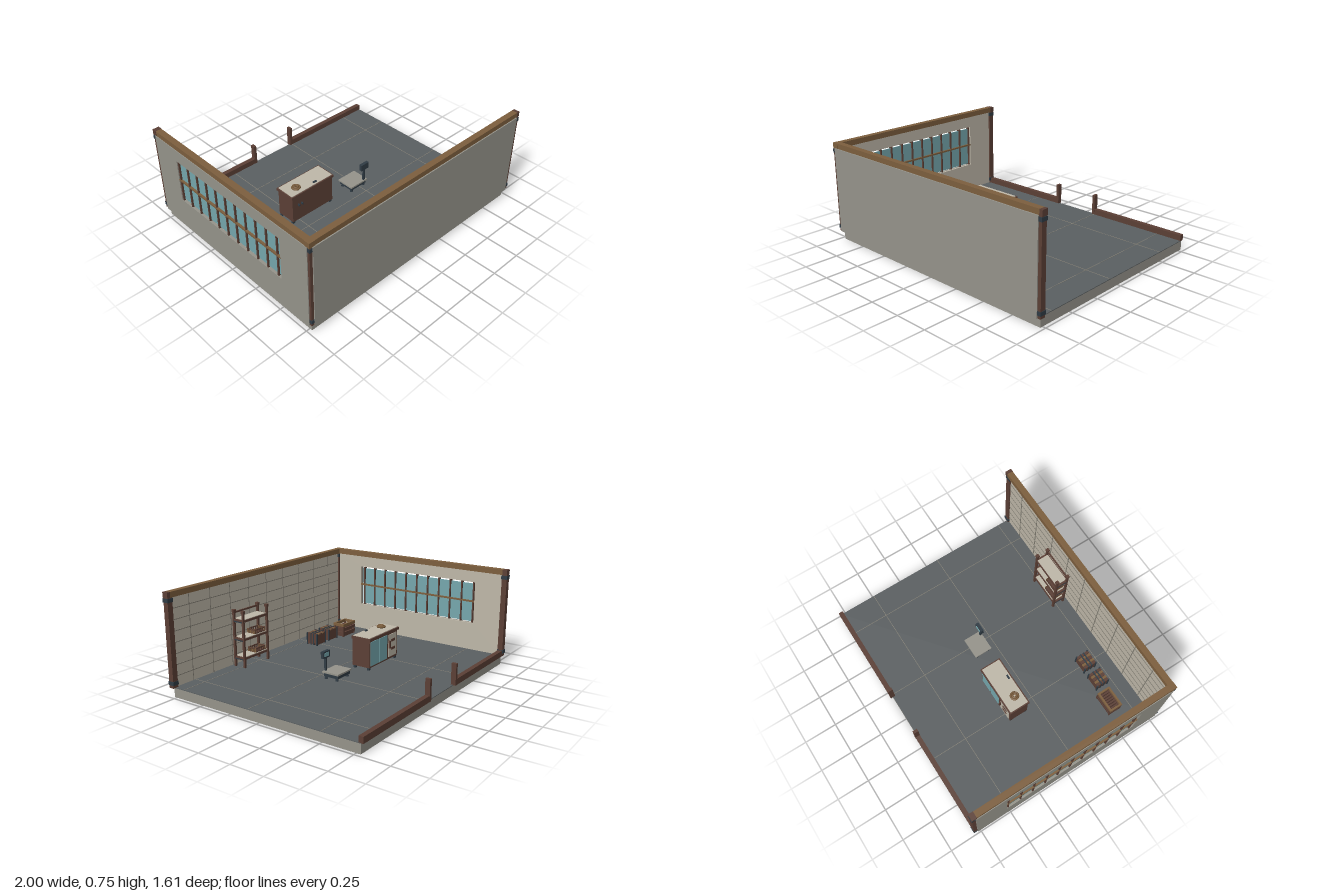
import * as THREE from 'three';

const mat = (name, color) => new THREE.MeshStandardMaterial({ name, color });

export function createModel() {
  const M = {
    concrete: mat('concrete grey', 0x96948b),
    plaster: mat('beige plaster', 0xbfb8a9),
    floor: mat('slate floor', 0x5b6062),
    wood: mat('dark wood', 0x5c4036),
    tan: mat('tan wood', 0x7d5f3e),
    metal: mat('blue black metal', 0x303c45),
    glass: mat('teal glass', 0x76a8ae),
    grout: mat('grout', 0x858176),
  };
  const model = new THREE.Group();
  model.name = 'workshopRoom';

  const group = (name) => {
    const g = new THREE.Group();
    g.name = name;
    model.add(g);
    return g;
  };
  const add = (g, name, geo, m) => {
    const mesh = new THREE.Mesh(geo, m);
    mesh.name = name;
    g.add(mesh);
    return mesh;
  };
  // Box given by its limits on each axis
  const box = (g, name, m, x0, x1, y0, y1, z0, z1) => {
    const b = add(g, name, new THREE.BoxGeometry(x1 - x0, y1 - y0, z1 - z0), m);
    b.position.set((x0 + x1) / 2, (y0 + y1) / 2, (z0 + z1) / 2);
    return b;
  };

  // Base slab and tiled floor
  const base = group('base');
  box(base, 'slab', M.concrete, -0.97, 0.975, 0, 0.068, -0.782, 0.77);
  box(base, 'floorSurface', M.floor, -0.97, 0.975, 0.068, 0.073, -0.782, 0.77);
  for (const x of [-0.385, 0.197, 0.78])
    box(base, 'floorJoint', M.grout, x - 0.002, x + 0.002, 0.072, 0.0745, -0.78, 0.76);
  for (const z of [-0.495, 0.088, 0.67])
    box(base, 'floorJoint', M.grout, -0.955, 0.973, 0.072, 0.0745, z - 0.002, z + 0.002);

  // Front wall: grey outside, tiled plaster inside
  const front = group('frontWall');
  box(front, 'outerSkin', M.concrete, -0.97, 0.972, 0.07, 0.712, 0.778, 0.8);
  box(front, 'innerLining', M.plaster, -0.97, 0.972, 0.07, 0.712, 0.765, 0.778);
  for (let i = 1; i < 8; i++) {
    const y = 0.07 + i * 0.08;
    box(front, 'tileJoint', M.grout, -0.95, 0.96, y - 0.003, y + 0.003, 0.762, 0.766);
  }
  for (let i = 0; i < 9; i++) {
    const x = -0.8 + i * 0.2;
    box(front, 'tileJoint', M.grout, x - 0.003, x + 0.003, 0.073, 0.71, 0.762, 0.766);
  }

  // Side wall with a window opening
  const side = group('sideWall');
  const rect = (T, u0, u1, v0, v1) => {
    const s = new T();
    s.moveTo(u0, v0).lineTo(u1, v0).lineTo(u1, v1).lineTo(u0, v1).closePath();
    return s;
  };
  const pane = (name, m, x, depth) => {
    const s = rect(THREE.Shape, -0.775, 0.775, 0.07, 0.712);
    s.holes.push(rect(THREE.Path, -0.53, 0.538, 0.29, 0.62));
    const geo = new THREE.ExtrudeGeometry(s, { depth, bevelEnabled: false });
    geo.rotateY(Math.PI / 2);
    add(side, name, geo, m).position.x = x;
  };
  pane('outerSkin', M.concrete, -0.997, 0.02);
  pane('innerLining', M.plaster, -0.977, 0.015);

  // Window
  const win = group('window');
  box(win, 'glazing', M.glass, -0.983, -0.977, 0.3, 0.605, -0.525, 0.515);
  for (let i = 0; i < 11; i++) {
    const z = 0.496 - i * 0.102;
    box(win, 'mullion', M.wood, -0.995, -0.965, 0.292, 0.618, z - 0.005, z + 0.005);
  }
  box(win, 'crossBar', M.tan, -0.998, -0.962, 0.459, 0.471, -0.538, 0.53);

  // Corner posts with metal collars
  const frame = group('timberFrame');
  for (const [x, z] of [[-0.97, 0.773], [0.975, 0.773], [-0.97, -0.781]]) {
    box(frame, 'cornerPost', M.wood, x - 0.021, x + 0.021, 0.07, 0.712, z - 0.02, z + 0.02);
    for (const y of [0.105, 0.691])
      box(frame, 'postCollar', M.metal, x - 0.024, x + 0.024, y - 0.014, y + 0.014, z - 0.024, z + 0.024);
  }
  // Top beams and dark end caps
  box(frame, 'frontBeam', M.tan, -0.95, 0.975, 0.71, 0.75, 0.748, 0.792);
  box(frame, 'sideBeam', M.tan, -0.992, -0.947, 0.71, 0.75, -0.765, 0.75);
  box(frame, 'beamCap', M.wood, 0.975, 1, 0.71, 0.75, 0.748, 0.794);
  box(frame, 'beamCap', M.tan, -0.994, -0.945, 0.71, 0.75, 0.75, 0.794);
  box(frame, 'beamCap', M.wood, -0.994, -0.945, 0.71, 0.75, -0.802, -0.765);

  // Low back sill with door posts
  const sill = group('backSill');
  box(sill, 'sillRail', M.wood, -0.95, -0.17, 0.07, 0.115, -0.8, -0.765);
  box(sill, 'sillRail', M.wood, 0.18, 0.975, 0.07, 0.115, -0.8, -0.765);
  for (const x of [-0.19, 0.178])
    box(sill, 'doorPost', M.wood, x, x + 0.022, 0.07, 0.23, -0.801, -0.764);

  // Counter
  const counter = group('counter');
  box(counter, 'body', M.wood, -0.452, -0.072, 0.092, 0.3, -0.15, 0);
  box(counter, 'topEdge', M.wood, -0.462, -0.064, 0.298, 0.317, -0.158, 0.007);
  box(counter, 'topSurface', M.plaster, -0.453, -0.073, 0.315, 0.321, -0.149, -0.002);
  for (const x of [-0.44, -0.084]) for (const z of [-0.135, -0.015])
    box(counter, 'foot', M.metal, x - 0.01, x + 0.01, 0.07, 0.094, z - 0.01, z + 0.01);
  for (const x of [-0.19, -0.305])
    box(counter, 'glassDoor', M.glass, x, x + 0.108, 0.105, 0.29, -0.154, -0.149);
  box(counter, 'backPanel', M.plaster, -0.437, -0.325, 0.11, 0.285, -0.154, -0.149);
  for (const y of [0.16, 0.225])
    box(counter, 'panelVent', M.wood, -0.41, -0.36, y, y + 0.02, -0.158, -0.153);
  box(counter, 'doorHandle', M.wood, -0.335, -0.325, 0.18, 0.24, -0.167, -0.15);
  for (const x of [-0.4, -0.37])
    box(counter, 'frontKnob', M.metal, x - 0.005, x + 0.005, 0.22, 0.235, 0, 0.017);
  // Cord coil and small tool on the counter
  for (let i = 0; i < 2; i++) {
    const coil = add(counter, 'cordCoil', new THREE.TorusGeometry(0.027 - i * 0.013, 0.008, 6, 14), M.tan);
    coil.rotation.x = Math.PI / 2;
    coil.position.set(-0.365, 0.328 + i * 0.007, -0.06);
  }
  box(counter, 'smallTool', M.metal, -0.237, -0.205, 0.32, 0.328, -0.027, -0.014);

  // Platform scale
  const scale = group('platformScale');
  box(scale, 'platformBase', M.metal, 0.1, 0.248, 0.092, 0.118, -0.095, 0.027);
  box(scale, 'platformTop', M.concrete, 0.09, 0.255, 0.118, 0.13, -0.103, 0.037);
  for (const x of [0.112, 0.236]) for (const z of [-0.08, 0.015])
    add(scale, 'foot', new THREE.CylinderGeometry(0.009, 0.012, 0.024, 8), M.metal).position.set(x, 0.082, z);
  box(scale, 'column', M.metal, 0.222, 0.236, 0.12, 0.24, 0.018, 0.032);
  box(scale, 'displayHead', M.metal, 0.195, 0.27, 0.228, 0.278, 0.012, 0.036);
  box(scale, 'displayScreen', M.glass, 0.208, 0.257, 0.24, 0.267, 0.008, 0.013);

  // Shelf rack
  const rack = group('shelfRack');
  for (const x of [0.142, 0.4]) for (const z of [0.642, 0.732]) {
    box(rack, 'upright', M.wood, x - 0.008, x + 0.008, 0.07, 0.5, z - 0.008, z + 0.008);
    box(rack, 'uprightCap', M.wood, x - 0.012, x + 0.012, 0.488, 0.507, z - 0.012, z + 0.012);
  }
  box(rack, 'topRail', M.wood, 0.142, 0.4, 0.478, 0.49, 0.727, 0.737);
  for (const y of [0.135, 0.28, 0.42]) {
    box(rack, 'shelfEdge', M.wood, 0.135, 0.407, y, y + 0.016, 0.636, 0.738);
    box(rack, 'shelfBoard', M.plaster, 0.15, 0.392, y + 0.014, y + 0.02, 0.642, 0.732);
    box(rack, 'shelfBracket', M.metal, 0.133, 0.409, y - 0.004, y + 0.004, 0.645, 0.73);
  }
  // Slatted baskets on the two lower shelves
  for (const y of [0.154, 0.299]) {
    box(rack, 'basketFloor', M.wood, 0.16, 0.27, y, y + 0.008, 0.648, 0.726);
    for (const z of [0.65, 0.722]) box(rack, 'basketRim', M.wood, 0.158, 0.272, y + 0.026, y + 0.034, z - 0.003, z + 0.003);
    for (const x of [0.161, 0.269]) box(rack, 'basketRim', M.wood, x - 0.003, x + 0.003, y + 0.026, y + 0.034, 0.648, 0.725);
    for (let i = 0; i < 6; i++) {
      const x = 0.163 + i * 0.0205, z = 0.65 + i * 0.0144;
      for (const e of [0.65, 0.722]) box(rack, 'basketSlat', M.wood, x - 0.004, x + 0.004, y, y + 0.036, e - 0.002, e + 0.002);
      for (const e of [0.161, 0.269]) box(rack, 'basketSlat', M.tan, e - 0.002, e + 0.002, y, y + 0.036, z - 0.004, z + 0.004);
    }
  }

  // Open slatted crate with a tan rim
  const crate = group('openCrate');
  box(crate, 'crateFloor', M.wood, -0.805, -0.655, 0.075, 0.09, 0.495, 0.587);
  for (const x of [-0.805, -0.655]) for (const z of [0.497, 0.587])
    box(crate, 'cornerPost', M.wood, x - 0.006, x + 0.006, 0.07, 0.175, z - 0.006, z + 0.006);
  for (const y of [0.1, 0.135, 0.17]) {
    const m = y > 0.16 ? M.tan : M.wood;
    for (const z of [0.497, 0.587]) box(crate, 'sideSlat', m, -0.812, -0.648, y - 0.01, y + 0.012, z - 0.007, z + 0.007);
    for (const x of [-0.805, -0.655]) box(crate, 'endSlat', m, x - 0.007, x + 0.007, y - 0.01, y + 0.012, 0.49, 0.594);
  }
  for (let i = 0; i < 7; i++) {
    const x = -0.787 + i * 0.019;
    box(crate, 'contentsBar', M.wood, x - 0.006, x + 0.006, 0.085, 0.155, 0.508, 0.576);
  }

  // Two closed crates with metal straps
  for (const cx of [-0.545, -0.385]) {
    const c = group('strappedCrate');
    box(c, 'crateBody', M.wood, cx - 0.055, cx + 0.055, 0.078, 0.16, 0.528, 0.622);
    for (let i = 0; i < 5; i++) {
      const x = cx - 0.046 + i * 0.023;
      box(c, 'lidSlat', i % 2 ? M.tan : M.wood, x - 0.009, x + 0.009, 0.16, 0.168, 0.525, 0.627);
    }
    for (const z of [0.562, 0.588])
      box(c, 'strap', M.metal, cx - 0.058, cx + 0.058, 0.075, 0.171, z - 0.005, z + 0.005);
    for (const sx of [-1, 1]) for (const z of [0.528, 0.624])
      box(c, 'cornerIron', M.metal, cx + sx * 0.056 - 0.005, cx + sx * 0.056 + 0.005, 0.07, 0.17, z - 0.005, z + 0.005);
  }
  return model;
}
